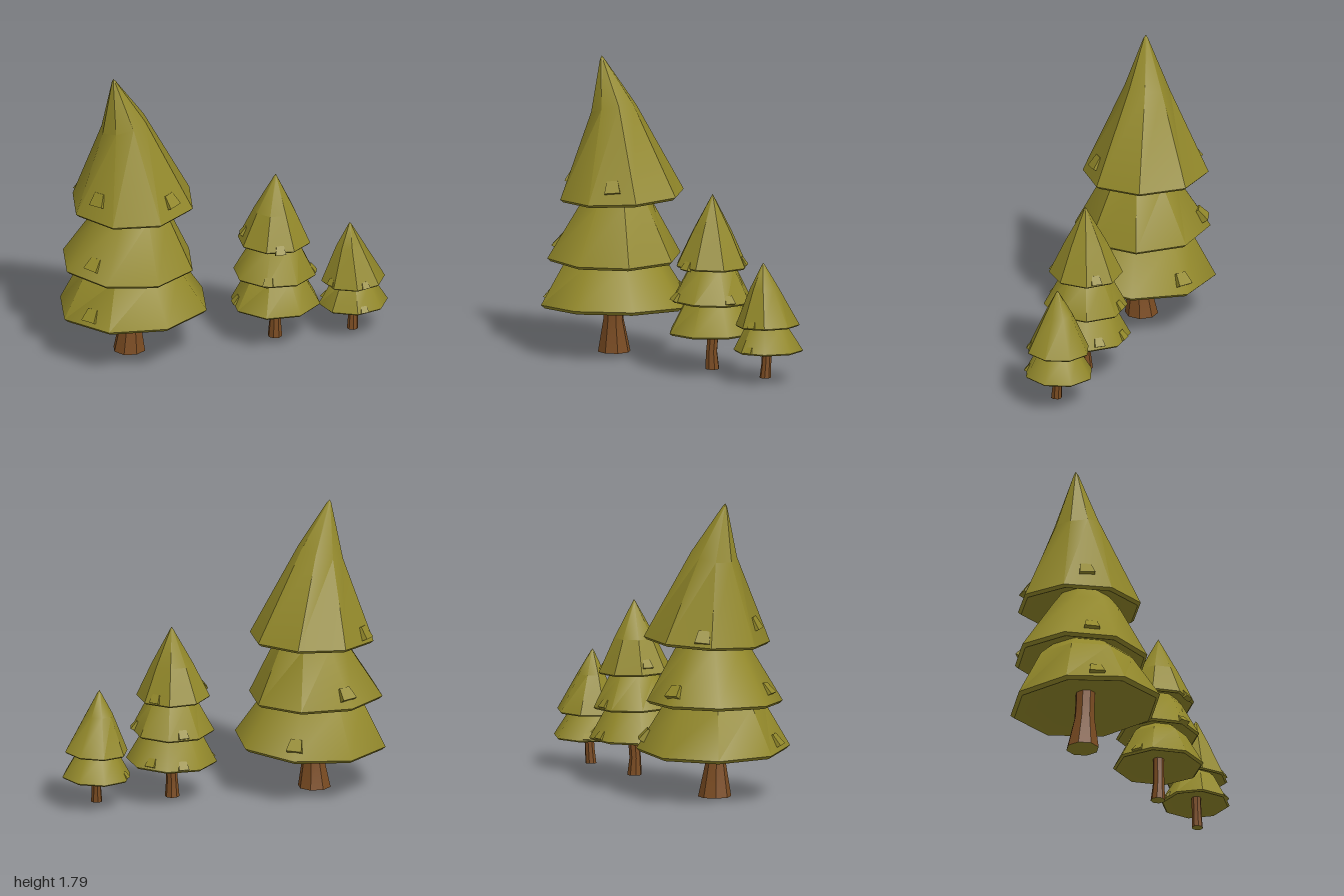
import * as THREE from 'three';
import { toCreasedNormals } from 'three/addons/utils/BufferGeometryUtils.js';

const SIDES = 8;
const foliage = new THREE.MeshStandardMaterial({ color: 0x92882a });
foliage.name = 'olive foliage';
const bark = new THREE.MeshStandardMaterial({ color: 0x7b4c22 });
bark.name = 'brown bark';

// Skin over octagonal rings [x, y, z, radius, tiltX, tiltZ], listed from the bottom axis outward and up
function loft(rings, turn) {
  const pos = [];
  const point = ([x, y, z, r, tx = 0, tz = 0], i) => {
    const a = turn + (i / SIDES) * Math.PI * 2;
    const dx = r * Math.cos(a), dz = r * Math.sin(a);
    return [x + dx, y + tx * dx + tz * dz, z + dz];
  };
  for (let k = 0; k < rings.length - 1; k++) {
    const lo = rings[k], up = rings[k + 1];
    for (let i = 0; i < SIDES; i++) {
      const a = point(lo, i), b = point(lo, i + 1), c = point(up, i), d = point(up, i + 1);
      if (lo[3] > 0) pos.push(...b, ...a, ...c);
      if (up[3] > 0) pos.push(...b, ...c, ...d);
    }
  }
  const geo = new THREE.BufferGeometry();
  geo.setAttribute('position', new THREE.Float32BufferAttribute(pos, 3));
  return toCreasedNormals(geo, 0.7);
}

function addMesh(parent, name, geo, mat) {
  const mesh = new THREE.Mesh(geo, mat);
  mesh.name = name;
  parent.add(mesh);
  return mesh;
}

// Distance from the axis to the flat side of an octagonal ring at angle a
function sideRadius(r, a, turn) {
  const step = (Math.PI * 2) / SIDES;
  const local = ((((a - turn) % step) + step) % step) - step / 2;
  return (r * Math.cos(step / 2)) / Math.cos(local);
}

// Small branch flap: flush at the top, lifting off the slope at its lower edge
function addFlap(parent, lo, up, turn, degrees, t, size) {
  const a = THREE.MathUtils.degToRad(degrees);
  const on = (ring) => {
    const [x, y, z, r, tx = 0, tz = 0] = ring;
    const s = sideRadius(r, a, turn), dx = s * Math.cos(a), dz = s * Math.sin(a);
    return new THREE.Vector3(x + dx, y + tx * dx + tz * dz, z + dz);
  };
  const p0 = on(lo), p1 = on(up);
  const slope = p1.clone().sub(p0).normalize();
  const side = new THREE.Vector3(Math.sin(a), 0, -Math.cos(a));
  side.addScaledVector(slope, -side.dot(slope)).normalize();
  const out = side.clone().cross(slope);
  const geo = new THREE.BoxGeometry(size, size * 0.85, size * 0.5);
  const p = geo.attributes.position;
  for (let i = 0; i < p.count; i++) {
    if (p.getY(i) > 0) {
      p.setX(i, p.getX(i) * 0.7);
      if (p.getZ(i) > 0) p.setZ(i, size * 0.06);
    }
  }
  geo.applyMatrix4(new THREE.Matrix4().makeBasis(side, slope, out).setPosition(p0.lerp(p1, t)));
  addMesh(parent, 'branchFlap', toCreasedNormals(geo, 0.5), foliage);
}

function buildTree(name, { turn, tiers, trunk, flap }) {
  const tree = new THREE.Group();
  tree.name = name;
  const angle = THREE.MathUtils.degToRad(turn);
  addMesh(tree, 'trunk', loft(trunk, angle), bark);
  // Trunk foot
  const [fx, fy, fz, fr] = trunk[0];
  addMesh(tree, 'trunkFoot', loft([[fx, fy, fz, 0], [fx, fy, fz, fr]], angle), foliage);
  tiers.forEach(({ rings, flaps }, i) => {
    const [x, y, z, r, tx, tz] = rings[0];
    // Hollowed underside and turned-in lip below the sloping skirt
    const under = [
      [x, y + r * 0.16, z, 0],
      [x, y + r * 0.13, z, r * 0.5, tx, tz],
      [x, y - r * 0.045, z, r * 0.95, tx, tz],
    ];
    addMesh(tree, 'foliageTier' + (i + 1), loft([...under, ...rings], angle), foliage);
    flaps.forEach(([deg, t]) => addFlap(tree, rings[0], rings[1], angle, deg, t, flap));
  });
  return tree;
}

export function createModel() {
  const model = new THREE.Group();
  model.name = 'pineTrees';

  model.add(buildTree('largeTree', {
    turn: -15.7,
    flap: 0.095,
    trunk: [[-0.58, 0, -0.01, 0.1], [-0.575, 0.2, 0, 0.062], [-0.567, 0.3, 0, 0.06], [-0.56, 0.42, 0, 0.06]],
    tiers: [
      {
        rings: [[-0.556, 0.298, -0.005, 0.463, 0.035, 0.03], [-0.57, 0.57, -0.005, 0.3], [-0.58, 0.72, -0.01, 0.12], [-0.58, 0.75, -0.01, 0]],
        flaps: [[140, 0.22], [300, 0.3]],
      },
      {
        rings: [[-0.588, 0.583, -0.015, 0.41, -0.02, -0.02], [-0.56, 0.92, -0.01, 0.215], [-0.57, 1.08, -0.01, 0.09], [-0.57, 1.1, -0.01, 0]],
        flaps: [[140, 0.25], [255, 0.25]],
      },
      {
        rings: [[-0.552, 0.955, -0.048, 0.38, 0.03, -0.04], [-0.612, 1.475, -0.035, 0.138, 0.27, 0], [-0.675, 1.77, 0, 0.014], [-0.68, 1.79, 0, 0]],
        flaps: [[141, 0.25], [51, 0.18], [218, 0.12]],
      },
    ],
  }));

  model.add(buildTree('mediumTree', {
    turn: 22.5,
    flap: 0.065,
    trunk: [[0.308, 0.015, 0, 0.044], [0.308, 0.12, 0.005, 0.035], [0.315, 0.22, 0, 0.034], [0.315, 0.32, 0, 0.034]],
    tiers: [
      {
        rings: [[0.312, 0.246, 0, 0.274, 0.015, 0], [0.31, 0.43, 0, 0.172], [0.31, 0.52, 0, 0.07], [0.31, 0.54, 0, 0]],
        flaps: [[180, 0.15], [-90, 0.15], [-42, 0.2]],
      },
      {
        rings: [[0.305, 0.437, 0, 0.252, -0.01, 0.02], [0.31, 0.64, 0, 0.143], [0.31, 0.74, 0, 0.06], [0.31, 0.76, 0, 0]],
        flaps: [[110, 0.12], [15, 0.15], [-90, 0.15]],
      },
      {
        rings: [[0.302, 0.648, 0, 0.222, -0.02, 0.02], [0.305, 0.85, 0, 0.126], [0.311, 1.06, 0, 0.012], [0.312, 1.08, 0, 0]],
        flaps: [[90, 0.05], [190, 0.3], [-40, 0.15]],
      },
    ],
  }));

  model.add(buildTree('smallTree', {
    turn: 3,
    flap: 0.05,
    trunk: [[0.782, 0.025, 0, 0.034], [0.785, 0.1, -0.005, 0.03], [0.787, 0.19, -0.01, 0.029], [0.787, 0.27, -0.01, 0.029]],
    tiers: [
      {
        rings: [[0.789, 0.193, -0.018, 0.21, 0.02, 0.01], [0.785, 0.34, -0.01, 0.125], [0.78, 0.42, -0.01, 0.05], [0.78, 0.44, -0.01, 0]],
        flaps: [[80, 0.12], [215, 0.15]],
      },
      {
        rings: [[0.788, 0.346, -0.014, 0.193, 0.035, 0], [0.77, 0.57, -0.006, 0.086], [0.766, 0.705, 0, 0.012], [0.765, 0.722, 0, 0]],
        flaps: [[75, 0.08], [150, 0.12]],
      },
    ],
  }));

  return model;
}
